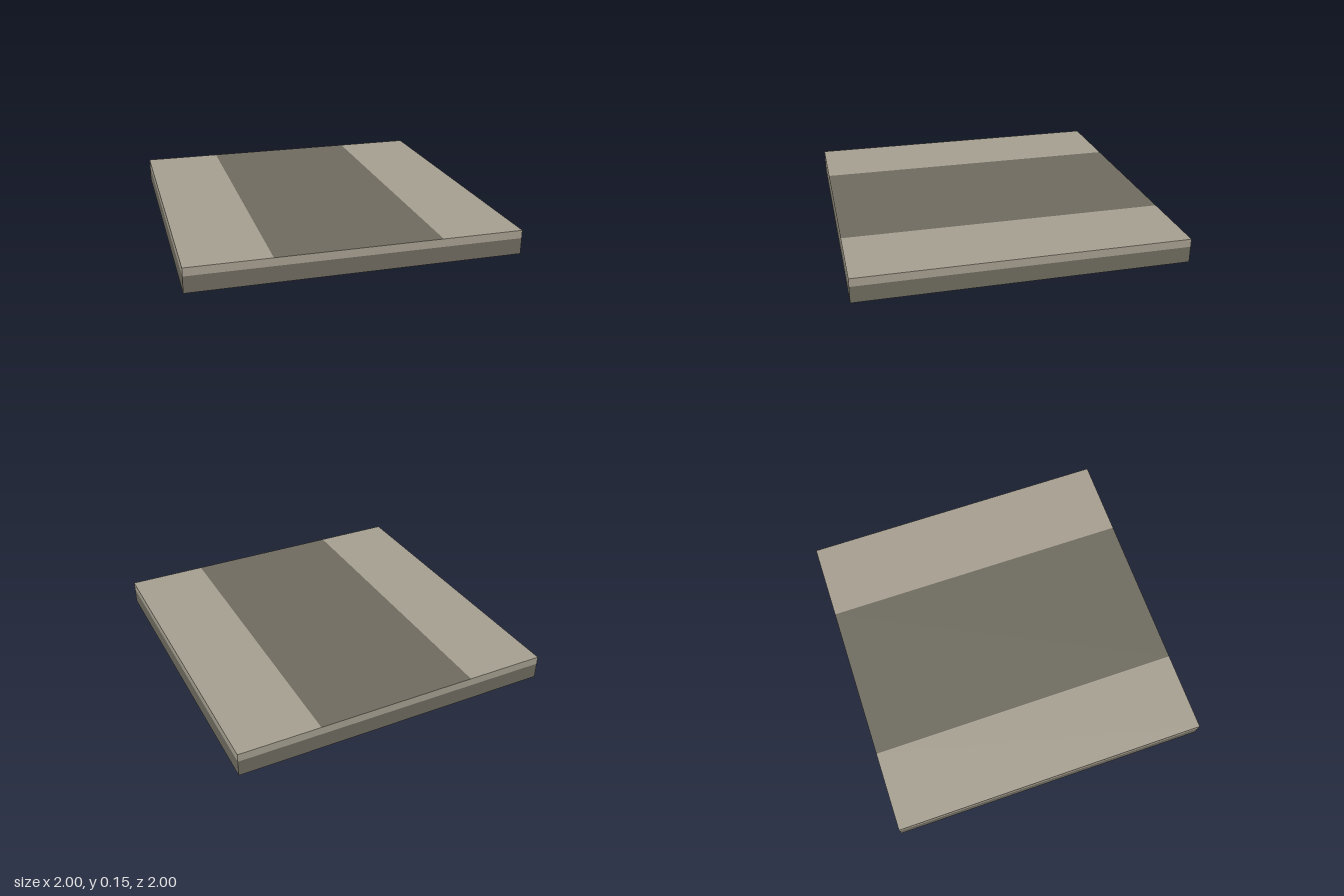
import * as THREE from 'three';

export function createModel() {
  const group = new THREE.Group();
  const light = new THREE.MeshStandardMaterial({ name: 'lightStone', color: 0xa59e8f, side: THREE.DoubleSide });
  const dark = new THREE.MeshStandardMaterial({ name: 'darkStone', color: 0x6e6a5e, side: THREE.DoubleSide });

  const HEIGHT = 0.15;
  const BAND = 0.1; // height where the wall colour changes

  function panel(parent, name, width, height, material) {
    const mesh = new THREE.Mesh(new THREE.PlaneGeometry(width, height), material);
    mesh.name = name;
    parent.add(mesh);
    return mesh;
  }

  // Top surface: a dark central strip between two light borders
  const strips = [
    ['topRight', -0.75, 0.5, light],
    ['topCentre', 0, 1, dark],
    ['topLeft', 0.75, 0.5, light],
  ];
  for (const [name, x, width, material] of strips) {
    const strip = panel(group, name, width, 2, material);
    strip.rotation.x = -Math.PI / 2;
    strip.position.set(x, HEIGHT, 0);
  }

  // Four thin skirt walls around the open underside
  ['front', 'left', 'back', 'right'].forEach((side, i) => {
    const wall = new THREE.Group();
    wall.name = side + 'Wall';
    panel(wall, side + 'LowerBand', 2, BAND, dark).position.set(0, BAND / 2, 1);
    panel(wall, side + 'UpperBand', 2, HEIGHT - BAND, light).position.set(0, (HEIGHT + BAND) / 2, 1);
    wall.rotation.y = (i * Math.PI) / 2;
    group.add(wall);
  });

  return group;
}
